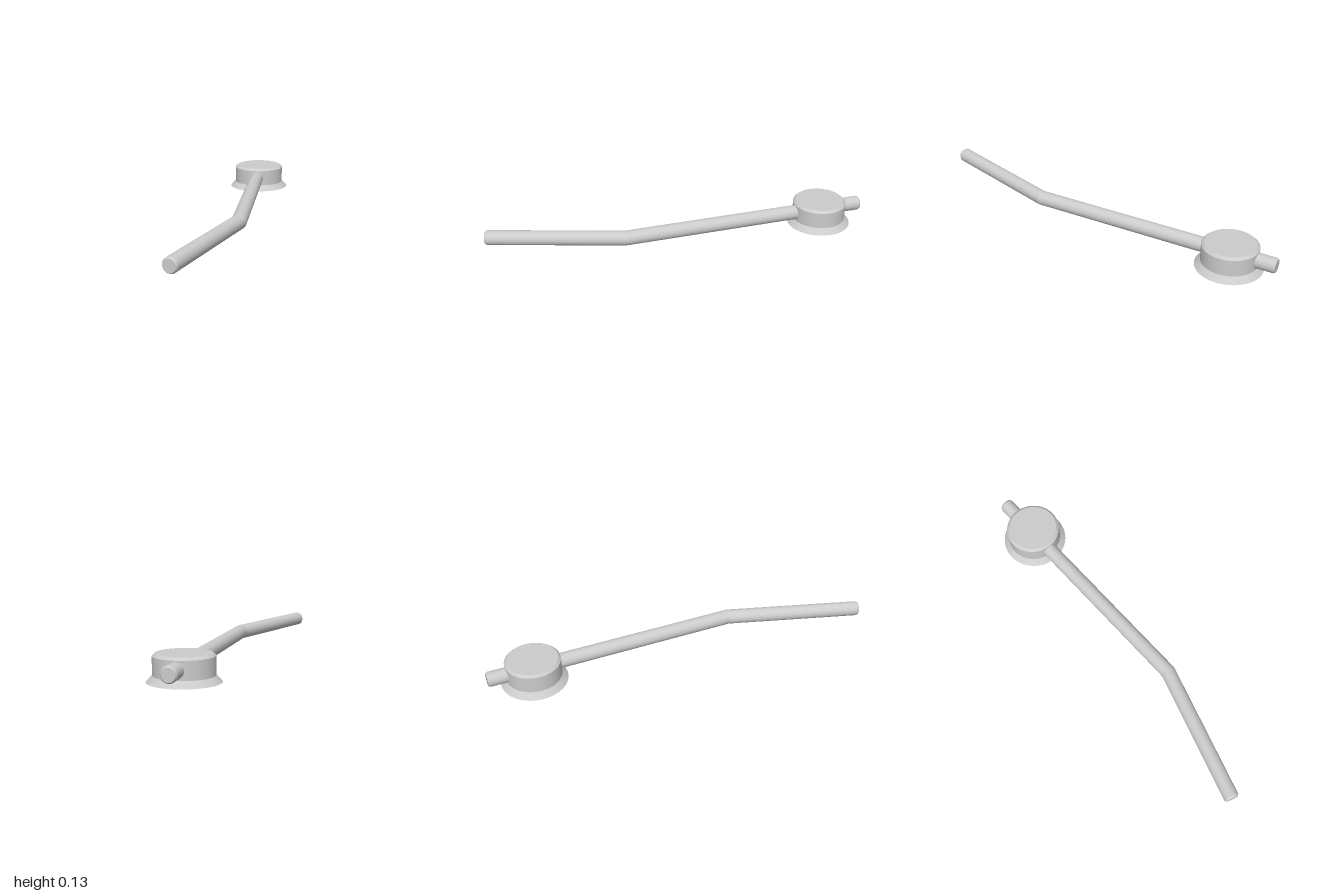
import * as THREE from 'three';
import { toCreasedNormals } from 'three/addons/utils/BufferGeometryUtils.js';

const material = new THREE.MeshStandardMaterial({ color: 0xcccccc });

function turned(profile, segments) {
  return new THREE.LatheGeometry(profile.map(([r, y]) => new THREE.Vector2(r, y)), segments);
}

function mesh(name, geometry) {
  const m = new THREE.Mesh(toCreasedNormals(geometry, 0.4), material);
  m.name = name;
  return m;
}

// Rod section running from the bend to a chamfered end; its bend end is cut to a mitre
function rodSection(name, bend, end, mitre) {
  const r = 0.038, chamfer = 0.01;
  const length = bend.distanceTo(end);
  const geometry = turned([[r, 0], [r, length - chamfer], [0.032, length], [0, length]], 48);
  const pos = geometry.attributes.position;
  for (let i = 0; i < pos.count; i++) {
    if (pos.getY(i) === 0) pos.setY(i, mitre * pos.getX(i));
  }
  const dir = end.clone().sub(bend).normalize();
  const up = new THREE.Vector3(0, 1, 0);
  const side = dir.clone().cross(up);
  geometry.applyMatrix4(new THREE.Matrix4().makeBasis(side, dir, up).setPosition(bend));
  return mesh(name, geometry);
}

export function createModel() {
  const model = new THREE.Group();
  model.name = 'bentLever';

  // Round hub with a flared foot and a chamfered top
  const hub = mesh('hub', turned(
    [[0, 0], [0.168, 0], [0.14, 0.03], [0.14, 0.116], [0.127, 0.128], [0, 0.128]], 72));
  hub.position.set(0.04, 0, -0.766);
  model.add(hub);

  // Lever rod: straight through the hub, then angled to one side
  const y = 0.072;
  const bend = new THREE.Vector3(0.038, y, 0.308);
  const tail = new THREE.Vector3(0.038, y, -1);
  const tip = new THREE.Vector3(-0.175, y, 0.99);
  const mitre = Math.tan(Math.atan2(bend.x - tip.x, tip.z - bend.z) / 2);
  model.add(rodSection('straightRod', bend, tail, -mitre));
  model.add(rodSection('angledHandle', bend, tip, mitre));

  return model;
}
